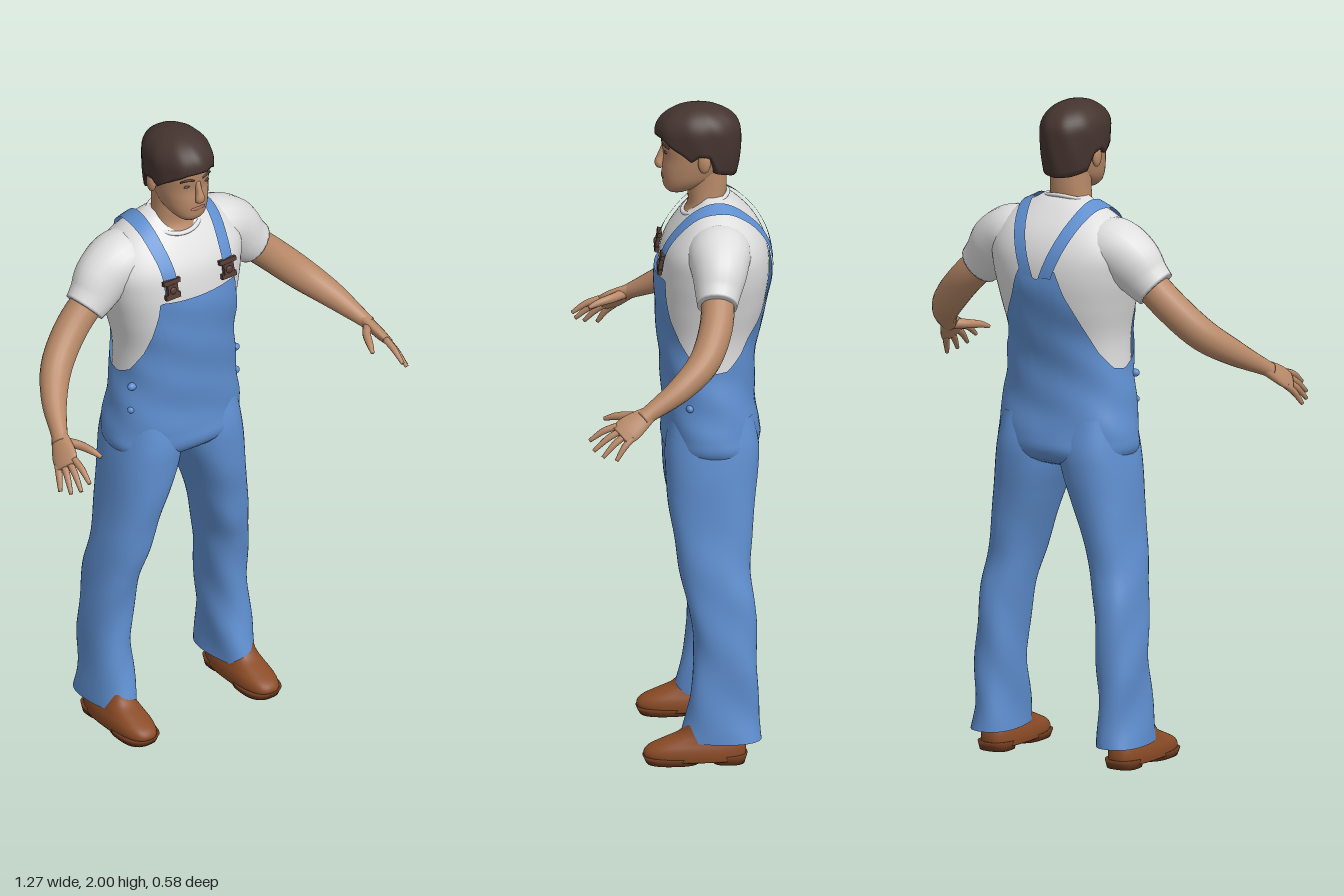
import * as THREE from 'three';

const material = (name, color, side = THREE.DoubleSide) =>
  Object.assign(new THREE.MeshStandardMaterial({ color, side }), { name });

// Smooth interpolation through rows of [t, ...values]
function interp(keys, Type = THREE.CubicInterpolant) {
  const it = new Type(keys.map(k => k[0]), keys.flatMap(k => k.slice(1)), keys[0].length - 1);
  return t => [...it.evaluate(t)];
}

// Grid surface from f(u, v); u wraps when closed, caps fill the two ends
function surface(f, nu, nv, { closed = true, caps = false } = {}) {
  const pos = [], idx = [], cols = closed ? nu : nu + 1;
  for (let j = 0; j <= nv; j++)
    for (let i = 0; i < cols; i++) pos.push(...f(i / nu, j / nv));
  for (let j = 0; j < nv; j++)
    for (let i = 0; i < nu; i++) {
      const a = j * cols + i, b = j * cols + (i + 1) % cols;
      idx.push(a, b, b + cols, a, b + cols, a + cols);
    }
  if (caps) for (const row of [0, nv]) {
    const c = [0, 0, 0], start = row * cols, centre = pos.length / 3;
    for (let i = 0; i < cols; i++) for (let k = 0; k < 3; k++) c[k] += pos[(start + i) * 3 + k] / cols;
    pos.push(...c);
    for (let i = 0; i < nu; i++) {
      const a = start + i, b = start + (i + 1) % cols;
      idx.push(...(row ? [a, b, centre] : [b, a, centre]));
    }
  }
  const g = new THREE.BufferGeometry();
  g.setAttribute('position', new THREE.Float32BufferAttribute(pos, 3));
  g.setIndex(idx);
  g.computeVertexNormals();
  return g;
}

const power = (v, e) => Math.sign(v) * Math.abs(v) ** e;

// Superellipse point for a row of half width, front z, back z, centre x
function ring([hw, zf, zb, cx = 0], angle, y, n, grow = 0) {
  return [cx + (hw + grow) * power(Math.sin(angle), 2 / n), y,
    (zf + zb) / 2 + ((zf - zb) / 2 + grow) * power(Math.cos(angle), 2 / n)];
}

// Upright loft through rows of [y, half width, front z, back z, centre x]
function stack(keys, { n = 2.2, nu = 40, nv = 30, caps = true, fold = () => 0 } = {}) {
  const at = interp(keys), y0 = keys[0][0], y1 = keys.at(-1)[0];
  return surface((u, v) => {
    const y = y0 + (y1 - y0) * v, a = u * Math.PI * 2;
    return ring(at(y), a, y, n, fold(a, y));
  }, nu, nv, { caps });
}

// Limb through rows of [x, y, z, radius along ref, other radius]
function limb(points, ref = [0, 0, 1], nu = 20, nv = 24) {
  const at = interp(points.map((p, i) => [i / (points.length - 1), ...p]));
  return surface((u, v) => {
    const c = at(v), p = new THREE.Vector3(...c);
    const t = new THREE.Vector3(...at(Math.min(1, v + 0.01)))
      .sub(new THREE.Vector3(...at(Math.max(0, v - 0.01)))).normalize();
    const A = new THREE.Vector3(...ref).addScaledVector(t, -t.dot(new THREE.Vector3(...ref))).normalize();
    const B = t.clone().cross(A), a = u * Math.PI * 2;
    return p.addScaledVector(A, c[3] * Math.cos(a)).addScaledVector(B, c[4] * Math.sin(a)).toArray();
  }, nu, nv, { caps: true });
}

const ball = (x, y, z, sx, sy, sz) =>
  new THREE.SphereGeometry(1, 20, 14).scale(sx, sy, sz).translate(x, y, z);

function mirrored(g) {
  const m = g.clone().applyMatrix4(new THREE.Matrix4().makeScale(-1, 1, 1));
  m.setIndex([...m.index.array].reverse());
  return m;
}

// Body cross-sections: y, half width, front z, back z
const BODY = [[0.9, 0.12, -0.06, -0.16], [0.92, 0.18, 0.005, -0.215], [0.95, 0.21, 0.032, -0.24],
  [1.0, 0.215, 0.034, -0.24], [1.1, 0.203, 0.035, -0.228], [1.2, 0.19, 0.042, -0.228],
  [1.3, 0.188, 0.05, -0.243], [1.4, 0.208, 0.057, -0.268], [1.5, 0.23, 0.053, -0.28],
  [1.57, 0.235, 0.038, -0.27], [1.63, 0.205, 0.002, -0.24], [1.67, 0.16, -0.03, -0.205],
  [1.7, 0.105, -0.06, -0.175], [1.72, 0.07, -0.075, -0.15]];
const bodyAt = interp(BODY), BODY_N = 2.3;

function insideBody(x, y, z) {
  if (y > 1.72) return false;
  const [hw, zf, zb] = bodyAt(y);
  return Math.abs(x / hw) ** BODY_N + Math.abs((z - (zf + zb) / 2) / ((zf - zb) / 2)) ** BODY_N < 1;
}

// Point lying just above the body at a given x, swung from the chest over the shoulder
function onBody(x, swing, lift) {
  const dz = Math.cos(swing), dy = Math.sin(swing);
  let lo = 0, hi = 0.4;
  for (let i = 0; i < 24; i++) {
    const r = (lo + hi) / 2;
    if (insideBody(x, 1.5 + dy * r, -0.115 + dz * r)) lo = r; else hi = r;
  }
  return [x, 1.5 + dy * (lo + lift), -0.115 + dz * (lo + lift)];
}

export function createModel() {
  const model = new THREE.Group();
  const denim = material('denim blue', 0x5f8fd0), shirt = material('shirt white', 0xdedede);
  const skin = material('skin', 0xb88968), hair = material('hair brown', 0x45342f);
  const leather = material('shoe leather', 0x8a4b26), sole = material('shoe sole', 0x6b3a1e);
  const metal = material('buckle bronze', 0x553c34), lip = material('lips', 0xa06f58);
  const add = (name, g, mat) => {
    const mesh = new THREE.Mesh(g, mat);
    mesh.name = name;
    model.add(mesh);
  };
  const pair = (name, g, mat) => {
    add(name + 'Left', g, mat);
    add(name + 'Right', mirrored(g), mat);
  };

  // Shirt body, collar and sleeves
  add('shirt', stack(BODY.slice(4), { n: BODY_N, nu: 56, nv: 40 }), shirt);
  add('collar', new THREE.TorusGeometry(1, 0.1, 10, 40).rotateX(Math.PI / 2).scale(0.082, 0.06, 0.074)
    .rotateX(0.42).translate(0, 1.692, -0.088), shirt);
  pair('sleeve', limb([[0.12, 1.585, -0.125, 0.09, 0.08], [0.18, 1.578, -0.122, 0.095, 0.09],
    [0.237, 1.54, -0.12, 0.083, 0.091], [0.28, 1.495, -0.114, 0.069, 0.076],
    [0.312, 1.465, -0.11, 0.06, 0.067]]), shirt);

  // Overalls body, rising to the bib in front and a point behind
  const topEdge = interp([[0, 1.485], [0.57, 1.488], [0.63, 1.44], [0.78, 1.37], [1, 1.3], [1.3, 1.235],
    [1.6, 1.208], [1.9, 1.215], [2.2, 1.265], [2.5, 1.35], [2.8, 1.45], [2.93, 1.52], [3.15, 1.49]],
    THREE.LinearInterpolant);
  add('overallsBody', surface((u, v) => {
    const a = u * Math.PI * 2, y = 0.9 + (topEdge(Math.min(a, Math.PI * 2 - a))[0] - 0.9) * v;
    return ring(bodyAt(y), a, y, BODY_N, 0.008 + 0.002 * Math.sin(4 * a + 40 * y));
  }, 120, 44, { caps: false }), denim);

  // Trouser legs
  const legs = [[0.07, 0.155, 0.29, -0.005, -0.25], [0.15, 0.155, 0.283, -0.02, -0.238],
    [0.3, 0.15, 0.28, -0.045, -0.235], [0.5, 0.13, 0.268, -0.025, -0.227], [0.6, 0.108, 0.255, 0, -0.215],
    [0.7, 0.08, 0.241, 0.014, -0.222], [0.8, 0.045, 0.231, 0.03, -0.232], [0.9, 0.01, 0.223, 0.037, -0.242],
    [0.96, 0.002, 0.215, 0.037, -0.244], [1.06, 0.02, 0.198, 0.02, -0.225]];
  pair('trouserLeg', stack(legs.map(([y, xi, xo, zf, zb]) => [y, (xo - xi) / 2, zf, zb, (xo + xi) / 2]),
    { n: 2.3, nu: 44, nv: 60, caps: false,
      fold: (a, y) => 0.004 * Math.max(0, 1 - y) * Math.sin(3 * a + 26 * y) }), denim);

  // Straps running from the bib over the shoulders to the back
  const strapX = interp([[0, 0.103], [0.6, 0.107], [1.2, 0.118], [1.6, 0.118], [2.2, 0.092], [3.2, 0.028]]);
  pair('strap', surface((u, v) => {
    const swing = 0.1 + v * 3.06;
    return onBody(strapX(swing)[0] + (u - 0.5) * 0.042, swing, 0.011);
  }, 4, 48, { closed: false }), denim);

  // Buckles on the bib and buttons on the hips
  for (const [name, w, h, y] of [['buckleTop', 0.06, 0.014, 1.556], ['buckleMiddle', 0.036, 0.034, 1.532],
    ['buckleBottom', 0.052, 0.016, 1.51]])
    pair(name, new THREE.BoxGeometry(w, h, 0.012).rotateX(-0.2)
      .translate(0.103, y, onBody(0.103, (y - 1.5) / 0.16, 0.012)[2]), metal);
  pair('bibButton', ball(0.103, 1.53, onBody(0.103, 0.19, 0.018)[2], 0.012, 0.012, 0.006), metal);
  for (const y of [1.18, 1.1]) pair('hipButton', ball(0.19, y, -0.035, 0.015, 0.012, 0.012), denim);

  // Arms
  pair('arm', limb([[0.27, 1.5, -0.115, 0.05, 0.052], [0.36, 1.418, -0.105, 0.05, 0.052],
    [0.445, 1.335, -0.065, 0.047, 0.05], [0.51, 1.272, 0.01, 0.038, 0.04],
    [0.557, 1.218, 0.1, 0.026, 0.024], [0.57, 1.203, 0.125, 0.026, 0.02]]), skin);

  // Hands: palm, four fanned fingers and a thumb
  const across = [0.47, -0.47, -0.75];
  pair('palm', limb([[0.556, 1.22, 0.095, 0.022, 0.019], [0.57, 1.2, 0.13, 0.034, 0.018],
    [0.584, 1.178, 0.165, 0.042, 0.016], [0.596, 1.16, 0.192, 0.037, 0.011]], across), skin);
  const tips = [[0.577, 1.14, 0.283], [0.6, 1.115, 0.272], [0.618, 1.1, 0.245], [0.629, 1.093, 0.205]];
  tips.forEach((tip, i) => {
    const k = (i - 1.5) * 0.02, base = [0.588, 1.17, 0.178].map((c, j) => c + across[j] * k);
    const mid = base.map((c, j) => (c + tip[j]) / 2 + (j === 1 ? 0.007 : 0));
    pair('finger' + (i + 1), limb([[...base, 0.011, 0.011], [...mid, 0.01, 0.01], [...tip, 0.006, 0.006]],
      across, 10, 10), skin);
  });
  pair('thumb', limb([[0.562, 1.205, 0.125, 0.016, 0.014], [0.53, 1.2, 0.165, 0.014, 0.013],
    [0.512, 1.193, 0.205, 0.011, 0.011], [0.5, 1.182, 0.236, 0.006, 0.006]], across, 10, 12), skin);

  // Neck and head
  add('neck', stack([[1.655, 0.072, -0.018, -0.13], [1.69, 0.066, -0.035, -0.145],
    [1.73, 0.062, -0.035, -0.152], [1.82, 0.062, -0.03, -0.15]]), skin);
  add('head', stack([[1.728, 0.028, 0.022, -0.03], [1.74, 0.045, 0.034, -0.06], [1.765, 0.062, 0.04, -0.11],
    [1.8, 0.072, 0.041, -0.145], [1.84, 0.078, 0.037, -0.16], [1.88, 0.081, 0.042, -0.168],
    [1.93, 0.082, 0.04, -0.17], [1.965, 0.06, 0.015, -0.14]], { n: 2.3 }), skin);
  add('nose', limb([[0, 1.868, 0.034, 0.008, 0.008], [0, 1.835, 0.044, 0.012, 0.01],
    [0, 1.813, 0.05, 0.013, 0.016], [0, 1.802, 0.042, 0.007, 0.012]], [0, 0, 1], 14, 14), skin);
  pair('ear', ball(0.085, 1.838, -0.082, 0.012, 0.032, 0.019), skin);
  pair('eye', ball(0.033, 1.858, 0.031, 0.013, 0.005, 0.005), metal);
  pair('eyebrow', limb([[0.014, 1.877, 0.039, 0.004, 0.004], [0.036, 1.882, 0.036, 0.004, 0.004],
    [0.055, 1.875, 0.023, 0.003, 0.003]], [0, 1, 0], 8, 8), hair);
  add('mouth', ball(0, 1.776, 0.038, 0.026, 0.007, 0.006), lip);

  // Hair cap with a fringe, sideburns and a longer nape
  const hairline = interp([[0, 1.91], [0.5, 1.905], [0.85, 1.885], [1.15, 1.865], [1.4, 1.84], [1.55, 1.86],
    [1.85, 1.855], [2.05, 1.8], [2.6, 1.785], [3.15, 1.78]], THREE.LinearInterpolant);
  add('hair', surface((u, v) => {
    const a = u * Math.PI * 2, low = hairline(Math.min(a, Math.PI * 2 - a))[0];
    const t = Math.max(0, (v - 0.05) / 0.95), y = low + (2 - low) * Math.sin(t * Math.PI / 2);
    const d = (y - 1.915) / (y > 1.915 ? 0.085 : 0.3);
    let r = Math.sqrt(Math.max(0, 1 - d * d)) * (1 + 0.012 * Math.sin(9 * a + 30 * y));
    if (v === 0) r *= 0.76;
    return [0.096 * r * Math.sin(a), y, -0.067 + 0.129 * r * Math.cos(a)];
  }, 64, 20), hair);

  // Shoes with a front sole and a heel block
  pair('shoe', stack([[0.012, 0.058, 0.1, -0.195, 0.225], [0.03, 0.06, 0.107, -0.2, 0.225],
    [0.05, 0.058, 0.092, -0.2, 0.225], [0.07, 0.052, 0.05, -0.196, 0.225],
    [0.09, 0.048, 0.005, -0.19, 0.225], [0.14, 0.044, -0.03, -0.18, 0.225]], { n: 2.6 }), leather);
  pair('frontSole', stack([[0, 0.055, 0.098, -0.06, 0.225], [0.022, 0.061, 0.109, -0.07, 0.225]],
    { n: 2.6, nv: 2 }), sole);
  pair('heel', stack([[0, 0.048, -0.1, -0.196, 0.225], [0.028, 0.053, -0.09, -0.204, 0.225]],
    { n: 2.8, nv: 2 }), sole);

  return model;
}
